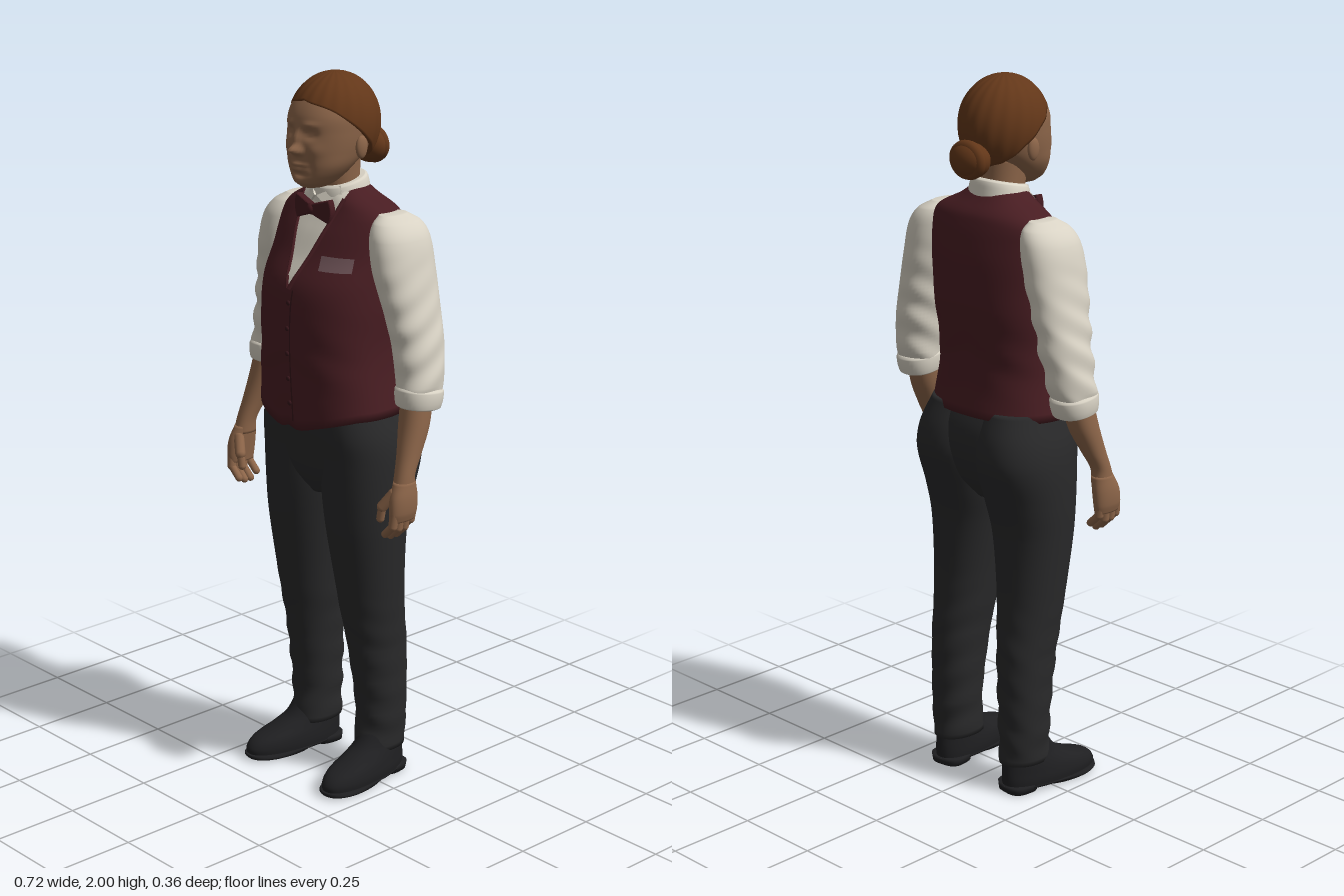
import * as THREE from 'three';
import { mergeVertices } from 'three/addons/utils/BufferGeometryUtils.js';

const mat = (name, color, side = THREE.FrontSide) => {
  const m = new THREE.MeshStandardMaterial({ color, side });
  m.name = name;
  return m;
};

// Smooth interpolation of rows [t, a, b, ...] at parameter t
function sample(keys, t) {
  let i = 0;
  while (i < keys.length - 2 && t > keys[i + 1][0]) i++;
  const k0 = keys[Math.max(i - 1, 0)], k1 = keys[i], k2 = keys[i + 1], k3 = keys[Math.min(i + 2, keys.length - 1)];
  const h = k2[0] - k1[0], s = THREE.MathUtils.clamp((t - k1[0]) / h, 0, 1), s2 = s * s, s3 = s2 * s;
  return k1.map((v, c) => {
    const m1 = (k2[c] - k0[c]) / (k2[0] - k0[0]) * h, m2 = (k3[c] - v) / (k3[0] - k1[0]) * h;
    return (2 * s3 - 3 * s2 + 1) * v + (s3 - 2 * s2 + s) * m1 + (3 * s2 - 2 * s3) * k2[c] + (s3 - s2) * m2;
  });
}

// Surface from a rule fn(row, column) -> [x, y, z]
function grid(rows, cols, fn) {
  const pos = [], idx = [];
  for (let i = 0; i <= rows; i++) for (let j = 0; j <= cols; j++) pos.push(...fn(i, j));
  for (let i = 0; i < rows; i++) for (let j = 0; j < cols; j++) {
    const a = i * (cols + 1) + j, b = a + cols + 1;
    idx.push(a, b, a + 1, a + 1, b, b + 1);
  }
  let g = new THREE.BufferGeometry();
  g.setAttribute('position', new THREE.Float32BufferAttribute(pos, 3));
  g.setIndex(idx);
  g = mergeVertices(g, 1e-5);
  g.computeVertexNormals();
  return g;
}

// Closed body from sections [y, xMin, xMax, zBack, zFront]
function loft(keys, { segs = 40, steps = 6, n = 2.2, warp } = {}) {
  const rows = (keys.length - 1) * steps;
  return grid(rows + 2, segs, (i, j) => {
    const r = THREE.MathUtils.clamp(i - 1, 0, rows), k = Math.min(Math.floor(r / steps), keys.length - 2);
    const t = THREE.MathUtils.lerp(keys[k][0], keys[k + 1][0], (r - k * steps) / steps);
    const [y, x0, x1, z0, z1] = sample(keys, t);
    const a = (j % segs) / segs * Math.PI * 2, c = Math.cos(a), s = Math.sin(a), f = i === 0 || i === rows + 2 ? 0 : 1;
    const pw = v => Math.sign(v) * Math.abs(v) ** (2 / n) * f;
    const p = [(x0 + x1) / 2 + (x1 - x0) / 2 * pw(c), y, (z0 + z1) / 2 + (z1 - z0) / 2 * pw(s)];
    return warp ? warp(p) : p;
  });
}
const sym = rows => rows.map(([y, w, z0, z1]) => [y, -w, w, z0, z1]);

const TORSO = sym([
  [1.09, .215, -.155, .165], [1.2, .2, -.14, .172], [1.28, .195, -.145, .175], [1.38, .2, -.16, .172],
  [1.45, .2, -.163, .158], [1.52, .2, -.16, .118], [1.58, .2, -.15, .088], [1.62, .195, -.14, .065],
  [1.645, .17, -.13, .053], [1.675, .11, -.105, .045], [1.7, .075, -.085, .035]]);
const TORSO_N = 2.4;
function chestZ(x, y) {
  const [, , w, z0, z1] = sample(TORSO, y);
  return (z0 + z1) / 2 + (z1 - z0) / 2 * Math.max(0, 1 - Math.abs(x / w) ** TORSO_N) ** (1 / TORSO_N);
}
// Thin panel lying on the chest between two edges
const chestPanel = (y0, y1, left, right, off) => grid(24, 16, (i, j) => {
  const y = THREE.MathUtils.lerp(y1, y0, i / 24), x = THREE.MathUtils.lerp(left(y), right(y), j / 16);
  return [x, y, chestZ(x, y) + off];
});

function ball(x, y, z, rx, ry, rz) {
  return new THREE.SphereGeometry(1, 28, 20).scale(rx, ry, rz).translate(x, y, z);
}
function bone(a, b, r) {
  const A = new THREE.Vector3(...a), B = new THREE.Vector3(...b), d = B.clone().sub(A);
  const q = new THREE.Quaternion().setFromUnitVectors(new THREE.Vector3(0, 1, 0), d.clone().normalize());
  const m = A.add(B).multiplyScalar(.5);
  return new THREE.CapsuleGeometry(r, d.length(), 5, 12).applyQuaternion(q).translate(m.x, m.y, m.z);
}
function mirrored(geo) {
  let g = geo.clone();
  if (!g.index) g = mergeVertices(g);
  g.scale(-1, 1, 1);
  const ix = g.index.array;
  for (let i = 0; i < ix.length; i += 3) [ix[i], ix[i + 1]] = [ix[i + 1], ix[i]];
  g.computeVertexNormals();
  return g;
}

// Facial relief: [x, y, width, height, depth], mirrored when x > 0
const FACE = [
  [0, 1.808, .014, .012, .03], [0, 1.838, .01, .022, .014], [.016, 1.803, .008, .008, .009],
  [.037, 1.85, .019, .012, -.014], [.037, 1.85, .012, .006, .007], [.038, 1.876, .022, .007, .005],
  [.055, 1.81, .02, .018, .005], [0, 1.768, .024, .005, .008], [0, 1.755, .02, .005, .008],
  [0, 1.741, .025, .006, -.006], [0, 1.722, .022, .012, .006], [.04, 1.765, .01, .02, -.004]];
function sculpt(p) {
  if (p[2] < .05) return p;
  const bump = (cx, cy, sx, sy, d) => d * Math.exp(-(((p[0] - cx) / sx) ** 2) - ((p[1] - cy) / sy) ** 2);
  let dz = 0;
  for (const [cx, ...rest] of FACE) dz += bump(cx, ...rest) + (cx ? bump(-cx, ...rest) : 0);
  return [p[0], p[1], p[2] + dz];
}

export function createModel() {
  const root = new THREE.Group();
  const skin = mat('skin', 0x8c6549), hairM = mat('hair', 0x633719, THREE.DoubleSide), shirt = mat('shirt', 0xd8d2c4, THREE.DoubleSide);
  const vestM = mat('vest', 0x481d22), trouser = mat('trousers', 0x29292a), shoeM = mat('shoes', 0x1f1f21);
  const tie = mat('bow tie', 0x431a1f), square = mat('pocket square', 0x6d5256, THREE.DoubleSide), trim = mat('vest trim', 0x35151a);
  const add = (name, geo, m) => {
    const mesh = new THREE.Mesh(geo, m);
    mesh.name = name;
    root.add(mesh);
  };
  const pair = (name, geo, m) => { add(name + 'Left', geo, m); add(name + 'Right', mirrored(geo), m); };

  // Head and neck
  add('head', loft(sym([
    [1.703, .03, .03, .108], [1.72, .055, 0, .125], [1.76, .086, -.04, .13], [1.8, .099, -.085, .131],
    [1.85, .106, -.11, .129], [1.9, .105, -.115, .122], [1.95, .083, -.095, .09], [1.985, .042, -.05, .045]]),
    { segs: 128, steps: 10, warp: sculpt }), skin);
  add('neck', loft(sym([[1.6, .062, -.075, .04], [1.68, .06, -.072, .045], [1.73, .062, -.07, .055], [1.78, .065, -.07, .06]])), skin);
  pair('ear', ball(.107, 1.812, .002, .011, .031, .019).rotateY(.02), skin);

  // Swept-back hair, its edge following the hairline around the head
  const hairline = [[0, 58], [45, 68], [75, 86], [100, 106], [130, 128], [180, 142]];
  add('hair', grid(29, 96, (i, j) => {
    const deg = (j % 96) / 96 * 360, a = deg * Math.PI / 180;
    const edge = sample(hairline, deg > 180 ? 360 - deg : deg)[1] * Math.PI / 180;
    const phi = edge * Math.min(i, 28) / 28, r = (i === 29 ? .9 : 1) * (1 + .008 * Math.sin(phi) * Math.sin(a * 18 + phi * 3));
    return [.116 * r * Math.sin(phi) * Math.sin(a), 1.865 + .135 * r * Math.cos(phi), .13 * r * Math.sin(phi) * Math.cos(a) - .002];
  }), hairM);
  add('hairBun', ball(0, 1.787, -.127, .062, .05, .043), hairM);
  add('bunCoil', new THREE.TorusGeometry(.036, .017, 12, 32).scale(1.2, 1, 1).translate(0, 1.787, -.137), hairM);

  // Vest with a dipped front hem
  add('vest', loft(TORSO, { segs: 72, steps: 5, n: TORSO_N, warp: ([x, y, z]) => {
    const t = Math.max(0, (1.24 - y) / .15), ax = Math.abs(x);
    const dip = z > .02 ? Math.max(0, 1 - Math.abs(ax - .035) / .16) * Math.min(1, z / .1) : 0;
    const fold = .002 * Math.sin(y * 60 + ax * 30) * Math.max(0, 1 - Math.abs(y - 1.25) / .15);
    return [x, y - .045 * t * dip, z + fold];
  } }), vestM);
  add('frontOpening', chestPanel(1.07, 1.435, () => .016, () => .021, .003), trim);
  for (const y of [1.12, 1.19, 1.26, 1.33, 1.4]) add('vestButton', ball(.008, y, chestZ(.008, y) + .003, .007, .007, .004), trim);

  // Shirt front in the V opening, edged by the vest
  const vee = y => .078 * Math.min(1, (y - 1.434) / .235) ** .85;
  add('shirtFront', chestPanel(1.436, 1.69, y => -vee(y), vee, .004), shirt);
  add('shirtPlacket', chestPanel(1.47, 1.62, () => -.011, () => .011, .007), shirt);
  const edge = new THREE.CatmullRomCurve3(Array.from({ length: 9 }, (_, i) => {
    const y = 1.436 + i * .0295;
    return new THREE.Vector3(vee(y), y, chestZ(vee(y), y) + .002);
  }));
  pair('vestEdge', new THREE.TubeGeometry(edge, 30, .006, 8), vestM);
  add('pocketSquare', chestPanel(1.495, 1.532, y => .076 + (1.53 - y) * .2, y => .163 + (1.53 - y) * .1, .008), square);

  // Collar, wings and bow tie
  add('collar', loft(sym([[1.645, .092, -.1, .052], [1.68, .084, -.095, .056], [1.705, .077, -.09, .055], [1.712, .07, -.082, .05]]),
    { steps: 4, warp: ([x, y, z]) => [x, y - z * .22, z] }), shirt);
  const wing = new THREE.Shape([[.004, 1.675], [.07, 1.705], [.08, 1.66], [.055, 1.625]].map(p => new THREE.Vector2(...p)));
  pair('collarWing', new THREE.ExtrudeGeometry(wing, { depth: .006, bevelEnabled: false })
    .translate(0, -1.66, 0).rotateX(-.25).rotateY(.5).translate(0, 1.66, .068), shirt);
  const bow = new THREE.Shape();
  bow.moveTo(.006, 1.63).lineTo(.058, 1.612).quadraticCurveTo(.074, 1.64, .06, 1.668).lineTo(.006, 1.652).closePath();
  pair('bowWing', new THREE.ExtrudeGeometry(bow, { depth: .012, bevelSize: .004, bevelThickness: .005, bevelSegments: 3 })
    .rotateY(.15).translate(0, 0, .072), tie);
  add('bowKnot', ball(0, 1.641, .081, .014, .016, .013), tie);

  // Sleeves and rolled cuffs
  const crease = ([x, y, z]) => {
    const w = .003 * Math.sin(y * 75 + z * 45) * THREE.MathUtils.clamp((1.55 - y) * 5, 0, 1);
    return [x + w, y, z + w];
  };
  pair('sleeve', loft([
    [1.15, .245, .346, -.09, .022], [1.2, .236, .35, -.108, .025], [1.3, .216, .336, -.125, .026], [1.4, .193, .314, -.132, .04],
    [1.5, .165, .292, -.137, .055], [1.58, .15, .272, -.134, .05], [1.62, .15, .244, -.118, .03], [1.642, .16, .205, -.085, 0]],
    { steps: 9, warp: crease }), shirt);
  pair('cuff', loft([[1.136, .25, .342, -.085, .02], [1.142, .241, .352, -.095, .029], [1.185, .236, .355, -.106, .031], [1.195, .243, .347, -.1, .024]],
    { steps: 3, warp: ([x, y, z]) => [x, y + z * .12, z] }), shirt);

  // Forearms and hands
  pair('forearm', loft([
    [.93, .3, .352, .012, .08], [.97, .297, .35, .012, .068], [1.02, .285, .348, -.015, .052],
    [1.09, .265, .346, -.05, .032], [1.17, .256, .338, -.07, .015]]), skin);
  pair('palm', loft([[.845, .313, .35, .015, .098], [.87, .31, .357, .01, .101], [.91, .305, .358, .008, .095], [.95, .3, .352, .012, .075]]), skin);
  [.024, .046, .068, .088].forEach((z, i) => {
    const drop = [.015, 0, 0, .008][i];
    pair('fingerBase', bone([.336, .87, z], [.332, .825 + drop, z + .003], .0125), skin);
    pair('fingerTip', bone([.332, .825 + drop, z + .003], [.302, .796 + drop, z + .002], .0108), skin);
  });
  pair('thumbBase', bone([.318, .92, .075], [.292, .88, .092], .015), skin);
  pair('thumbTip', bone([.292, .88, .092], [.285, .845, .092], .0115), skin);

  // Trousers
  const rumple = ([x, y, z]) => {
    const w = .003 * Math.sin(y * 70 + x * 40) * THREE.MathUtils.clamp((.6 - y) * 3, 0, 1);
    return [x + w * .5, y, z + w];
  };
  pair('trouserLeg', loft([
    [.085, .073, .192, -.13, .025], [.2, .068, .2, -.131, .016], [.4, .055, .204, -.131, .042], [.5, .042, .21, -.121, .06],
    [.6, .031, .218, -.115, .076], [.75, .011, .23, -.119, .098], [.85, -.004, .237, -.142, .106],
    [.96, -.008, .239, -.177, .113], [1.03, -.008, .229, -.172, .122], [1.11, -.005, .2, -.14, .125]], { steps: 8, warp: rumple }), trouser);
  add('trouserSeat', loft(sym([[.84, .04, -.09, .07], [.9, .19, -.135, .1], [.98, .232, -.162, .117], [1.05, .222, -.16, .127], [1.12, .195, -.135, .128]])), trouser);

  // Shoes, turned slightly outward
  const place = g => g.rotateY(.12).translate(.132, 0, -.09);
  pair('shoeUpper', place(loft([
    [.012, -.058, .062, -.038, .272], [.035, -.06, .064, -.04, .272], [.058, -.058, .061, -.04, .248], [.08, -.053, .056, -.038, .185],
    [.105, -.048, .05, -.036, .135], [.15, -.044, .046, -.032, .1]])), shoeM);
  pair('shoeSole', place(loft([[.004, -.058, .062, .06, .272], [.01, -.062, .066, .058, .277], [.018, -.062, .066, -.042, .277]], { steps: 2 })), shoeM);
  pair('shoeHeel', place(loft([[0, -.048, .05, -.038, .055], [.022, -.052, .055, -.04, .06]], { n: 3, steps: 2 })), shoeM);
  return root;
}
